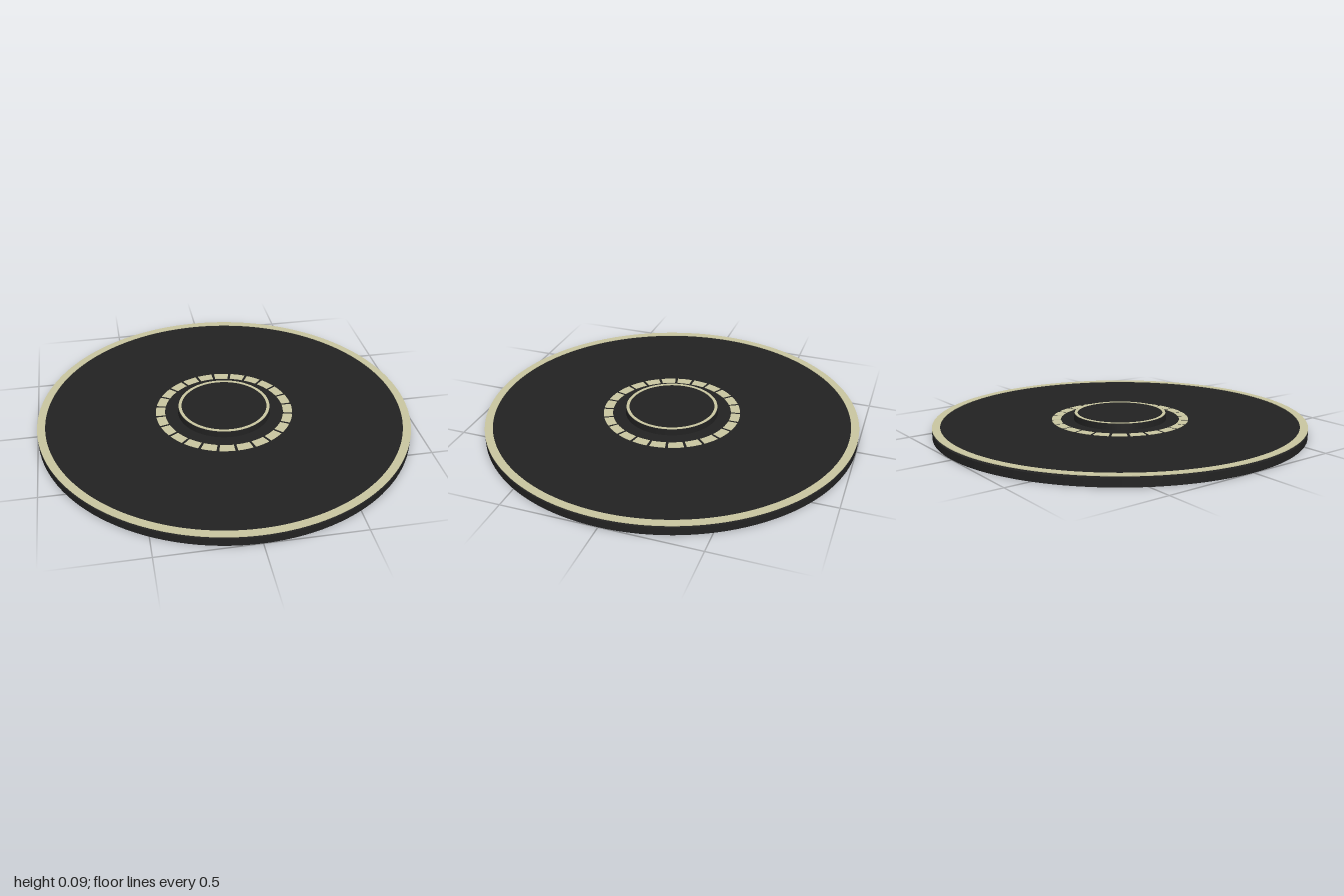
import * as THREE from 'three';

const charcoal = new THREE.MeshStandardMaterial({ color: 0x222222 });
charcoal.name = 'charcoal';
const cream = new THREE.MeshStandardMaterial({ color: 0xc9c6a0 });
cream.name = 'cream';

// Solid disc standing between two heights
function disc(name, radius, bottom, top) {
  const mesh = new THREE.Mesh(new THREE.CylinderGeometry(radius, radius, top - bottom, 128), charcoal);
  mesh.name = name;
  mesh.position.y = (bottom + top) / 2;
  return mesh;
}

// Flat plate lying in the horizontal plane
function plate(name, shape, bottom, thickness, curveSegments) {
  const geometry = new THREE.ExtrudeGeometry(shape, { depth: thickness, bevelEnabled: false, curveSegments });
  geometry.rotateX(-Math.PI / 2);
  const mesh = new THREE.Mesh(geometry, cream);
  mesh.name = name;
  mesh.position.y = bottom;
  return mesh;
}

function ringShape(inner, outer) {
  const shape = new THREE.Shape().absarc(0, 0, outer, 0, Math.PI * 2, false);
  shape.holes.push(new THREE.Path().absarc(0, 0, inner, 0, Math.PI * 2, true));
  return shape;
}

function arcShape(inner, outer, start, end) {
  const shape = new THREE.Shape();
  shape.absarc(0, 0, outer, start, end, false);
  shape.absarc(0, 0, inner, end, start, true);
  shape.closePath();
  return shape;
}

export function createModel() {
  const model = new THREE.Group();
  model.name = 'roundPlatform';

  // Stepped base and raised hub
  model.add(disc('base', 1, 0, 0.04));
  model.add(disc('deck', 0.98, 0.04, 0.05));
  model.add(disc('hub', 0.25, 0.05, 0.084));

  // Rim overhangs the deck, leaving a narrow slit above the base
  model.add(plate('rimRing', ringShape(0.958, 1), 0.05, 0.003, 128));
  model.add(plate('hubRing', ringShape(0.23, 0.246), 0.084, 0.002, 96));

  // Circle of short curved marks around the hub
  const marks = new THREE.Group();
  marks.name = 'markCircle';
  const count = 24;
  const step = (Math.PI * 2) / count;
  const gap = 0.04;
  for (let i = 0; i < count; i++) {
    const shape = arcShape(0.32, 0.37, i * step + gap / 2, (i + 1) * step - gap / 2);
    marks.add(plate('mark', shape, 0.05, 0.002, 6));
  }
  model.add(marks);

  return model;
}
